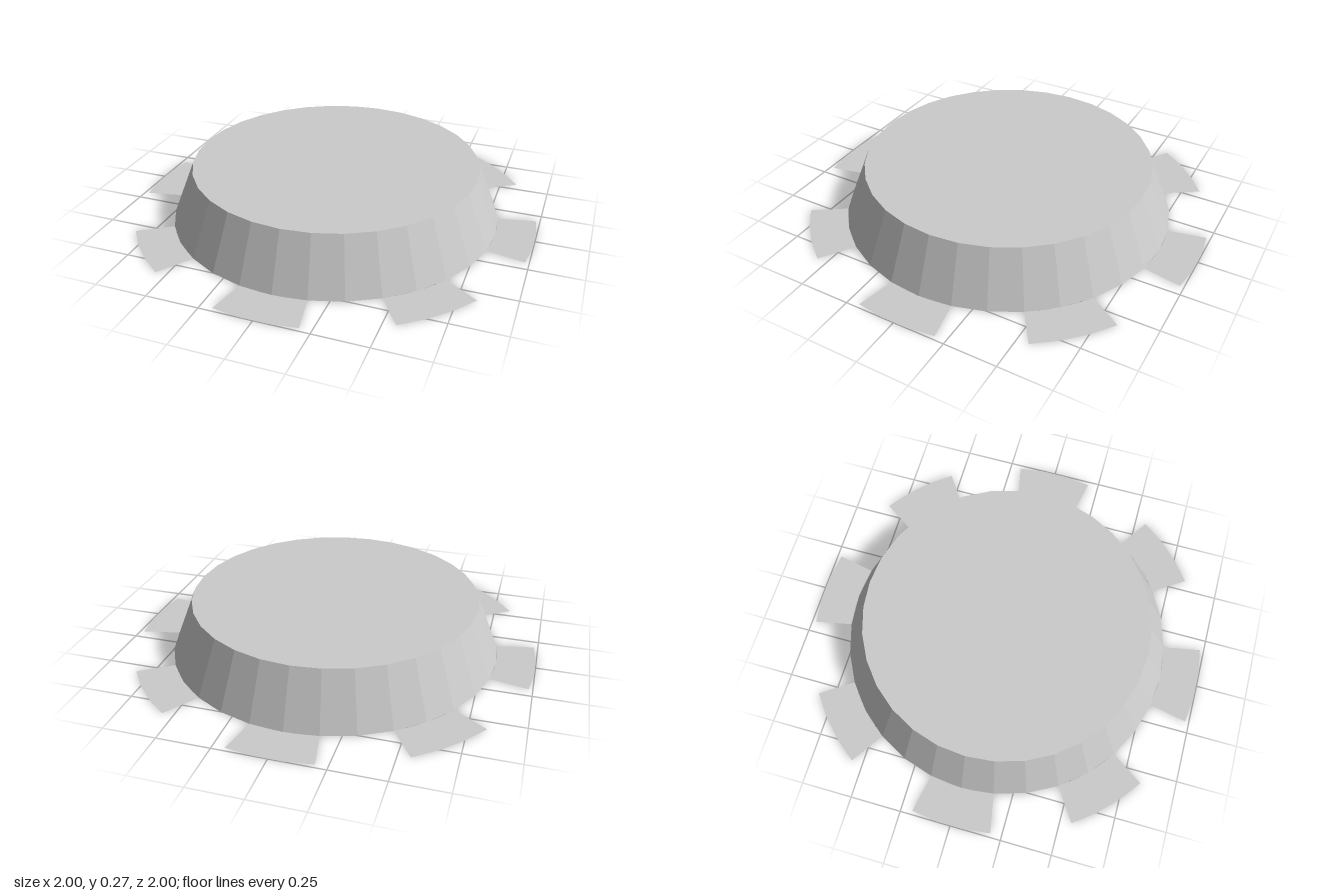
import * as THREE from 'three';

export function createModel() {
  const group = new THREE.Group();
  const material = new THREE.MeshStandardMaterial({
    color: 0xcccccc, flatShading: true, side: THREE.DoubleSide,
  });
  const sides = 32, step = (Math.PI * 2) / sides;
  const topRadius = 0.705, rimRadius = 0.813, height = 0.267, tabRadius = 1;

  const add = (name, geometry) => {
    const mesh = new THREE.Mesh(geometry, material);
    mesh.name = name;
    group.add(mesh);
  };

  // Sloping wall, open underneath
  add('wall', new THREE.CylinderGeometry(topRadius, rimRadius, height, sides, 1, true)
    .translate(0, height / 2, 0));

  // Flat lid closing the top
  add('lid', new THREE.CircleGeometry(topRadius, sides)
    .rotateX(-Math.PI / 2).translate(0, height, 0));

  // Eight flat tabs around the rim, each two wall facets wide
  for (let i = 0; i < 8; i++) {
    const start = (i * 4 - 1) * step;
    add('tab' + (i + 1), new THREE.RingGeometry(rimRadius, tabRadius, 2, 1, start, 2 * step)
      .rotateX(-Math.PI / 2));
  }
  return group;
}
